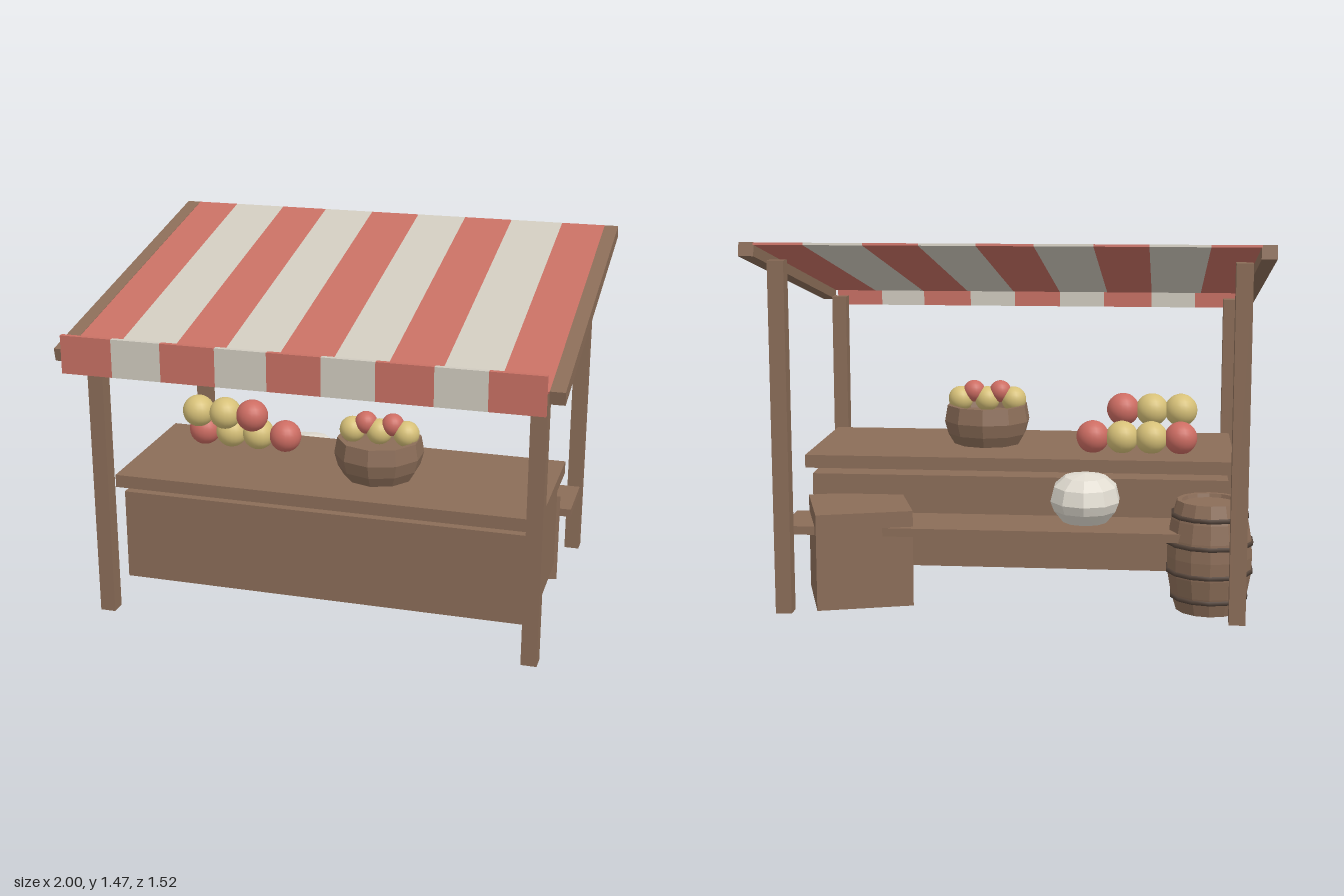
import * as THREE from 'three';

const mat = (name, color) => {
  const m = new THREE.MeshStandardMaterial({ color });
  m.name = name;
  return m;
};

export function createModel() {
  const wood = mat('wood', 0x8b6d58);
  const iron = mat('dark hoop', 0x54443a);
  const red = mat('red cloth', 0xc87064);
  const cream = mat('cream cloth', 0xd0cbbf);
  const apple = mat('red fruit', 0xcc6c62);
  const yellow = mat('yellow fruit', 0xd6c078);
  const linen = mat('sack linen', 0xe0dbd0);
  const woodFlat = mat('turned wood', 0x8b6d58);
  woodFlat.flatShading = linen.flatShading = true;

  const model = new THREE.Group();
  model.name = 'marketStall';

  const add = (name, geometry, material, x, y, z, parent = model) => {
    const mesh = new THREE.Mesh(geometry, material);
    mesh.name = name;
    mesh.position.set(x, y, z);
    parent.add(mesh);
    return mesh;
  };
  // Box given by its extents on each axis
  const box = (name, material, [x0, x1], [y0, y1], [z0, z1], parent) =>
    add(name, new THREE.BoxGeometry(x1 - x0, y1 - y0, z1 - z0), material,
      (x0 + x1) / 2, (y0 + y1) / 2, (z0 + z1) / 2, parent);
  const lathe = (profile, sides) =>
    new THREE.LatheGeometry(profile.map(([r, y]) => new THREE.Vector2(r, y)), sides);

  // Posts
  for (const s of [-1, 1]) {
    const x = [s * 0.89 - 0.032, s * 0.89 + 0.032];
    box('frontPost', wood, x, [0, 1.15], [0.527, 0.592]);
    box('backPost', wood, x, [0, 1.395], [-0.64, -0.575]);
  }

  // Sloping roof: side beams and striped awning
  const roof = new THREE.Group();
  roof.name = 'roof';
  roof.position.set(0, 1.296, -0.022);
  roof.rotation.x = Math.atan2(0.297, 1.461);
  model.add(roof);
  for (const s of [-1, 1]) {
    add('roofBeam', new THREE.BoxGeometry(0.058, 0.053, 1.49), wood, s * 0.971, 0, 0, roof);
  }
  const stripes = (name, edges, y, z, parent) => {
    for (let i = 0; i < edges.length - 1; i++) {
      box(name, i % 2 ? cream : red, [edges[i], edges[i + 1]], y, z, parent);
    }
  };
  stripes('awningStripe', [-0.945, -0.76, -0.535, -0.33, -0.11, 0.105, 0.32, 0.53, 0.755, 0.945],
    [0.016, 0.025], [-0.748, 0.745], roof);

  // Hanging front valance
  stripes('valanceStripe', [-0.945, -0.735, -0.535, -0.315, -0.11, 0.102, 0.31, 0.53, 0.73, 0.94],
    [1.093, 1.246], [0.745, 0.765]);

  // Counter and rear shelf
  box('counterBody', wood, [-0.865, 0.865], [0.087, 0.474], [-0.19, 0.42]);
  box('counterTop', wood, [-0.89, 0.89], [0.503, 0.557], [-0.217, 0.45]);
  box('rearShelf', wood, [-0.92, 0.92], [0.292, 0.326], [-0.52, -0.245]);

  // Crate, turned slightly
  const crate = add('crate', new THREE.BoxGeometry(0.386, 0.39, 0.386), wood, 0.635, 0.195, -0.355);
  crate.rotation.y = 0.289;

  // Barrel with hoops
  const barrelRadius = (y) => 0.172 - 0.04 * ((y - 0.222) / 0.222) ** 2;
  const staves = [[0, 0]];
  for (let i = 0; i <= 6; i++) {
    const y = (i / 6) * 0.445;
    staves.push([barrelRadius(y), y]);
  }
  staves.push([0.112, 0.445], [0.108, 0.43], [0, 0.43]);
  const barrel = new THREE.Group();
  barrel.name = 'barrel';
  barrel.position.set(-0.785, 0, -0.41);
  model.add(barrel);
  add('barrelStaves', lathe(staves, 14), woodFlat, 0, 0, 0, barrel);
  for (const y of [0.06, 0.165, 0.28, 0.388]) {
    const r = barrelRadius(y) + 0.006;
    const hoop = lathe([[r - 0.02, -0.008], [r, -0.008], [r, 0.008], [r - 0.02, 0.008]], 14);
    add('barrelHoop', hoop, iron, 0, y, 0, barrel);
  }

  // Lumpy sack on the shelf
  const sackGeo = lathe([[0, 0], [0.09, 0], [0.13, 0.05], [0.145, 0.09], [0.13, 0.15],
    [0.085, 0.188], [0, 0.2]], 10);
  const p = sackGeo.attributes.position;
  for (let i = 0; i < p.count; i++) {
    p.setY(i, p.getY(i) * (1 - 0.35 * p.getZ(i) * Math.sign(p.getZ(i)) * (p.getZ(i) < 0 ? 1 : 0)));
  }
  add('sack', sackGeo, linen, -0.285, 0.325, -0.325);

  // Piled fruit
  const fruit = (radius) => new THREE.SphereGeometry(radius, 20, 14);
  const big = fruit(0.069);
  [apple, yellow, yellow, apple].forEach((m, i) =>
    add('pileFruit', big, m, -0.67 + i * 0.123, 0.62, -0.028));
  [yellow, yellow, apple].forEach((m, i) =>
    add('pileFruit', big, m, -0.67 + i * 0.122, 0.727, 0.045));

  // Basket of fruit
  add('basket', lathe([[0, 0], [0.145, 0], [0.172, 0.045], [0.187, 0.1], [0.175, 0.168],
    [0.155, 0.168], [0.145, 0.13], [0, 0.13]], 10), woodFlat, 0.165, 0.557, 0.145);
  const small = fruit(0.054);
  for (const x of [0.05, 0.165, 0.28]) add('basketFruit', small, yellow, x, 0.748, 0.145);
  const top = fruit(0.047);
  for (const x of [0.108, 0.222]) add('basketFruit', top, apple, x, 0.782, 0.145);

  return model;
}
